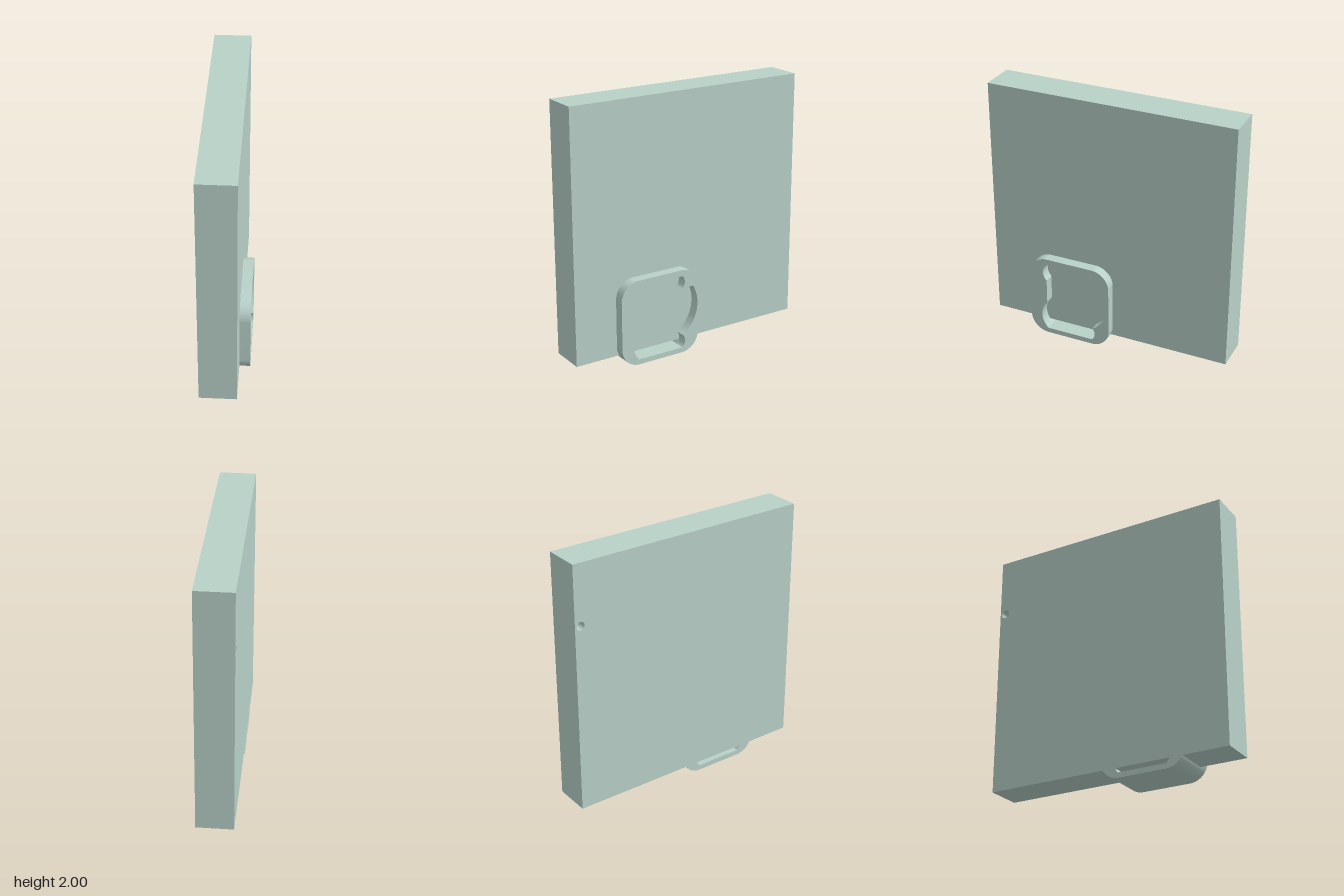
import * as THREE from 'three';
import { toCreasedNormals } from 'three/addons/utils/BufferGeometryUtils.js';

const X0 = -0.18, X1 = 0.1, X2 = 0.18;       // slab back, slab face, frame face
const BOTTOM = 0.075, TOP = 2, HALF = 0.965;  // slab extents
const Z0 = -0.037, Z1 = 0.627, H = 0.665, R = 0.145; // frame outline

// Points on the circular arc through a, b and c
function arc(a, b, c, n = 16) {
  const [ax, ay] = a, [bx, by] = b, [cx, cy] = c;
  const d = 2 * (ax * (by - cy) + bx * (cy - ay) + cx * (ay - by));
  const A = ax * ax + ay * ay, B = bx * bx + by * by, C = cx * cx + cy * cy;
  const ox = (A * (by - cy) + B * (cy - ay) + C * (ay - by)) / d;
  const oy = (A * (cx - bx) + B * (ax - cx) + C * (bx - ax)) / d;
  const r = Math.hypot(ax - ox, ay - oy), tau = Math.PI * 2;
  const angle = (p) => Math.atan2(p[1] - oy, p[0] - ox);
  const start = angle(a), ccw = (t) => (((t - start) % tau) + tau) % tau;
  let sweep = ccw(angle(c));
  if (ccw(angle(b)) > sweep) sweep -= tau;
  return Array.from({ length: n + 1 }, (_, i) => {
    const t = start + (sweep * i) / n;
    return [ox + r * Math.cos(t), oy + r * Math.sin(t)];
  });
}

// Profiles are given as (z, y); the shape plane uses -z so it turns onto the x axis
const toVectors = (pts) => pts.map(([z, y]) => new THREE.Vector2(-z, y));

function extrudeX(shape, from, to) {
  const g = new THREE.ExtrudeGeometry(shape, { depth: to - from, bevelEnabled: false, curveSegments: 16 });
  g.rotateY(Math.PI / 2).translate(from, 0, 0);
  return toCreasedNormals(g, 0.5);
}

export function createModel() {
  const group = new THREE.Group();
  const material = new THREE.MeshStandardMaterial({ color: 0xb9d1c8 });
  const add = (name, geometry, parent = group, mat = material) => {
    const mesh = new THREE.Mesh(geometry, mat);
    mesh.name = name;
    parent.add(mesh);
    return mesh;
  };

  // Slab: a box whose back side is replaced by a face with a drilled hole
  const slab = new THREE.Group();
  slab.name = 'slab';
  group.add(slab);
  const box = new THREE.BoxGeometry(X1 - X0, TOP - BOTTOM, HALF * 2);
  box.translate((X0 + X1) / 2, (TOP + BOTTOM) / 2, 0);
  const index = Array.from(box.index.array);
  index.splice(6, 6);
  box.setIndex(index);
  box.clearGroups();
  add('slabBody', box, slab);

  const holeZ = -0.92, holeY = 1.54, holeR = 0.032, holeDepth = 0.1;
  const face = new THREE.Shape(toVectors([[-HALF, BOTTOM], [HALF, BOTTOM], [HALF, TOP], [-HALF, TOP]])
    .map((v) => new THREE.Vector2(-v.x, v.y)));
  face.holes.push(new THREE.Path().absarc(holeZ, holeY, holeR, 0, Math.PI * 2, true));
  add('slabDrilledSide', new THREE.ShapeGeometry(face, 16).rotateY(-Math.PI / 2).translate(X0, 0, 0), slab);

  const inside = material.clone();
  inside.side = THREE.DoubleSide;
  const wall = new THREE.CylinderGeometry(holeR, holeR, holeDepth, 32, 1, true);
  add('holeWall', wall.rotateZ(Math.PI / 2).translate(X0 + holeDepth / 2, holeY, holeZ), slab, inside);
  const floor = new THREE.CircleGeometry(holeR, 32);
  add('holeFloor', floor.rotateY(-Math.PI / 2).translate(X0 + holeDepth, holeY, holeZ), slab);

  // Raised rounded frame with a notched opening
  const left = -Z1, right = -Z0;
  const frame = new THREE.Shape();
  frame.absarc(right - R, R, R, -Math.PI / 2, 0);
  frame.absarc(right - R, H - R, R, 0, Math.PI / 2);
  frame.absarc(left + R, H - R, R, Math.PI / 2, Math.PI);
  frame.absarc(left + R, R, R, Math.PI, Math.PI * 1.5);
  frame.closePath();
  const opening = [
    ...arc([0.484, 0.04], [0.534, 0.155], [0.487, 0.28]),
    ...arc([0.487, 0.476], [0.516, 0.545], [0.484, 0.617]),
    ...arc([0.103, 0.617], [0.082, 0.566], [0.1, 0.521]),
    ...arc([0.008, 0.521], [-0.032, 0.376], [0.1, 0.14], 32),
    ...arc([0.1, 0.14], [0.08, 0.09], [0.103, 0.04]).slice(1),
  ];
  frame.holes.push(new THREE.Path(toVectors(opening)));
  add('frame', extrudeX(frame, X1, X2));

  // Lower lip: the frame's bottom continues under the slab, with a slot above it
  const a = Math.asin((R - BOTTOM) / R);
  const lip = new THREE.Shape();
  lip.absarc(left + R, R, R, Math.PI + a, Math.PI * 1.5);
  lip.absarc(right - R, R, R, -Math.PI / 2, -a);
  for (const [z, y] of [[0.081, BOTTOM], [0.103, 0.04], [0.484, 0.04], [0.515, BOTTOM]]) lip.lineTo(-z, y);
  lip.closePath();
  add('lowerLip', extrudeX(lip, X0, X1));

  return group;
}
